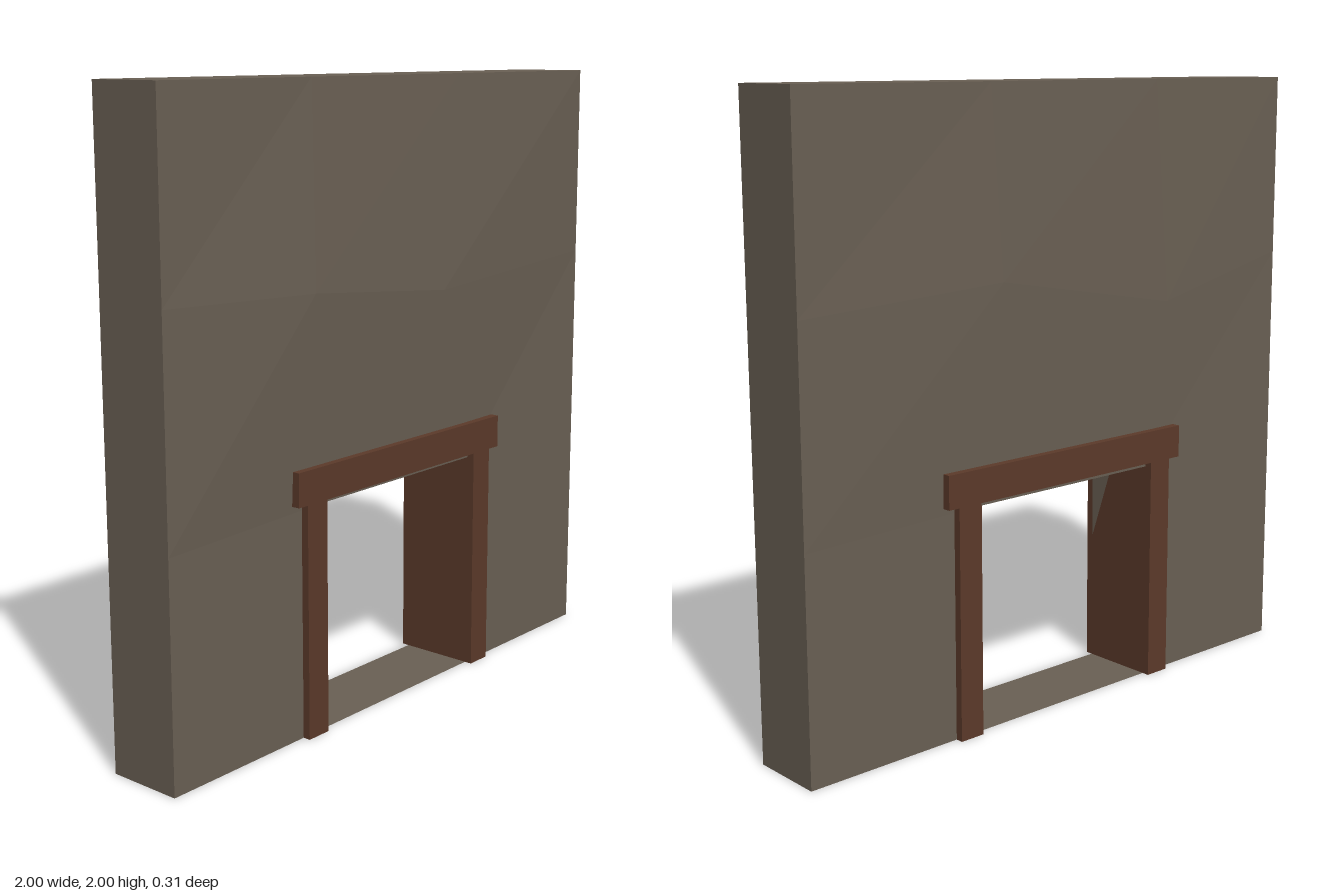
import * as THREE from 'three';

export function createModel() {
  const group = new THREE.Group();
  const stone = new THREE.MeshStandardMaterial({ color: 0x6a6054, side: THREE.DoubleSide });
  stone.name = 'weathered stone';
  stone.flatShading = true;
  const wood = new THREE.MeshStandardMaterial({ color: 0x5c3a2a });
  wood.name = 'dark wood';

  // Coarse 4 x 4 grids: rows from bottom to top, columns from -x to +x
  const T = 0.125;
  const front = [
    [[-1, 0, T], [-0.373, 0, T], [0.373, 0, T], [1, 0, T]],
    [[-1, 0.71, T], [-0.368, 0.73, T], [0.373, 0.73, T], [1, 0.71, T]],
    [[-1, 1.4, T], [-0.42, 1.38, 0.155], [0.2, 1.32, 0.15], [1, 1.37, T]],
    [[-1, 2, T], [-0.4, 2, T], [0.3, 2, T], [1, 2, T]],
  ];
  const back = [
    [[-1, 0, -T], [-0.373, 0, -T], [0.373, 0, -T], [1, 0, -T]],
    [[-1, 0.71, -T], [-0.373, 0.73, -T], [0.373, 0.73, -T], [1, 0.71, -T]],
    [[-1, 1.4, -T], [-0.45, 1.28, -0.138], [0.27, 1.41, -0.142], [1, 1.37, -T]],
    [[-1, 2, -T], [-0.4, 2, -T], [0.3, 2, -T], [1, 2, -T]],
  ];

  const makeSurface = (name, quads) => {
    const points = quads.flatMap(([a, b, c, d]) => [a, b, c, a, c, d]).flat();
    const geometry = new THREE.BufferGeometry();
    geometry.setAttribute('position', new THREE.Float32BufferAttribute(points, 3));
    geometry.computeVertexNormals();
    const mesh = new THREE.Mesh(geometry, stone);
    mesh.name = name;
    group.add(mesh);
  };

  // Bulging wall faces, leaving the doorway cell open
  const frontQuads = [], backQuads = [], endQuads = [], topQuads = [];
  for (let r = 0; r < 3; r++) {
    for (let c = 0; c < 3; c++) {
      if (r === 0 && c === 1) continue;
      frontQuads.push([front[r][c], front[r][c + 1], front[r + 1][c + 1], front[r + 1][c]]);
      backQuads.push([back[r][c + 1], back[r][c], back[r + 1][c], back[r + 1][c + 1]]);
    }
    endQuads.push([front[r][3], back[r][3], back[r + 1][3], front[r + 1][3]]);
    endQuads.push([back[r][0], front[r][0], front[r + 1][0], back[r + 1][0]]);
    topQuads.push([front[3][r], front[3][r + 1], back[3][r + 1], back[3][r]]);
  }
  makeSurface('wallFront', frontQuads);
  makeSurface('wallBack', backQuads);
  makeSurface('wallEnds', endQuads);
  makeSurface('wallTop', topQuads);

  // Lining of the doorway: floor, soffit and both sides; the wall base stays open
  makeSurface('doorwayLining', [
    [front[0][1], front[0][2], back[0][2], back[0][1]],
    [back[1][1], back[1][2], front[1][2], front[1][1]],
    [front[0][1], back[0][1], back[1][1], front[1][1]],
    [back[0][2], front[0][2], front[1][2], back[1][2]],
  ]);

  // Wooden door frame passing through the wall
  const beam = (name, w, h, d, x, y) => {
    const mesh = new THREE.Mesh(new THREE.BoxGeometry(w, h, d), wood);
    mesh.name = name;
    mesh.position.set(x, y, 0);
    group.add(mesh);
  };
  beam('leftPost', 0.087, 0.75, 0.3, 0.4135, 0.375);
  beam('rightPost', 0.087, 0.75, 0.3, -0.4135, 0.375);
  beam('lintel', 1, 0.107, 0.308, 0, 0.8015);

  return group;
}
